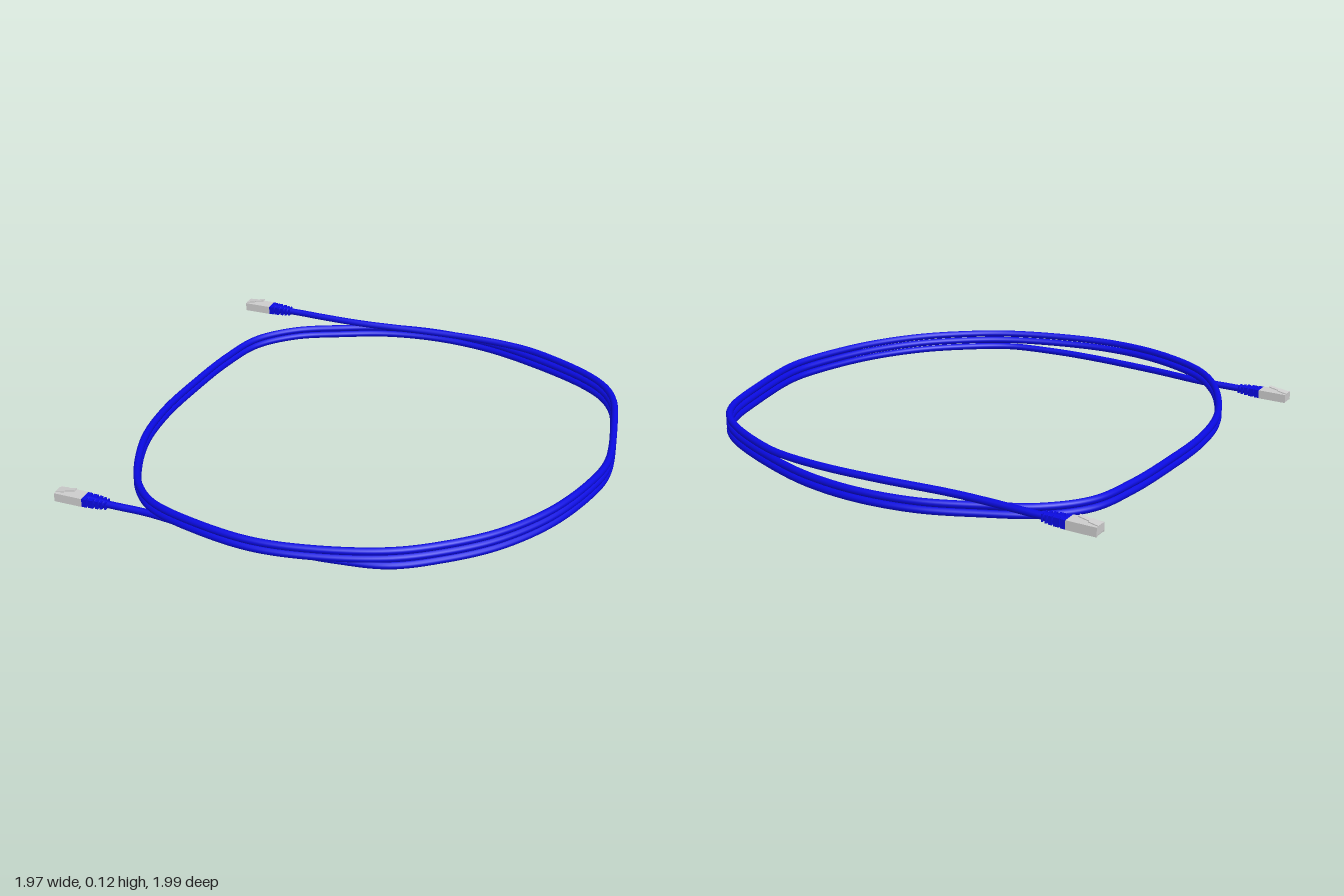
import * as THREE from 'three';

const blue = new THREE.MeshStandardMaterial({ color: 0x0a0ae0 });
const grey = new THREE.MeshStandardMaterial({ color: 0xcccccc });
const LOW = 0.023, MID = 0.054, TOP = 0.085; // heights of the three stacked turns
const R = 0.0145;

// Plan of one turn as [x, z]
const rightSide = [[0.39, 0.86], [0.56, 0.75], [0.72, 0.6], [0.86, 0.38], [0.95, 0.11], [0.97, -0.05],
  [0.925, -0.34], [0.865, -0.57], [0.795, -0.68], [0.68, -0.77], [0.43, -0.885]];
const backAndLeft = [[0.19, -0.96], [-0.05, -0.983], [-0.29, -0.95], [-0.5, -0.865], [-0.69, -0.765],
  [-0.82, -0.615], [-0.87, -0.4], [-0.892, -0.13], [-0.897, 0.135], [-0.865, 0.375], [-0.785, 0.59]];
const front = [[-0.69, 0.75], [-0.57, 0.86], [-0.34, 0.945], [-0.1, 0.977], [0.135, 0.945]];
const startTail = [[-0.82, 0.86], [-0.72, 0.86], [-0.6, 0.86], [-0.34, 0.89], [0, 0.908], [0.2, 0.897]];
const endTail = [[0.3, -0.912], [0.12, -0.922], [-0.1, -0.912], [-0.4, -0.885], [-0.6, -0.885],
  [-0.72, -0.89], [-0.82, -0.89]];

function add(parent, name, geometry, material, x = 0, y = 0, z = 0) {
  const mesh = new THREE.Mesh(geometry, material);
  mesh.name = name;
  mesh.position.set(x, y, z);
  parent.add(mesh);
  return mesh;
}

const level = (points, y) => points.map(([x, z]) => new THREE.Vector3(x, y, z));

// Front stretch where the cable climbs from one turn to the next
const climb = (from, to) => front.map(([x, z], i) =>
  new THREE.Vector3(x, THREE.MathUtils.lerp(from, to, Math.min(1, (i + 1) / 3)), z));

function makeCable() {
  const path = new THREE.CatmullRomCurve3([
    ...level(startTail, LOW), ...level(rightSide, LOW), ...level(backAndLeft, LOW),
    ...climb(LOW, MID), ...level(rightSide, MID), ...level(backAndLeft, MID),
    ...climb(MID, TOP), ...level(rightSide, TOP), ...level(endTail, TOP),
  ]);
  return new THREE.TubeGeometry(path, 700, R, 12);
}

// Plug pointing to -x, with its cable axis through the group's origin
function makeConnector() {
  const plug = new THREE.Group();

  // Housing: side profile with a low notch for the contacts at the nose
  const side = new THREE.Shape([[-0.99, -0.011], [-0.955, -0.011], [-0.955, -0.018], [-0.87, -0.018],
    [-0.87, 0.018], [-0.99, 0.018]].map(([x, y]) => new THREE.Vector2(x, y)));
  const housing = new THREE.ExtrudeGeometry(side, { depth: 0.058, bevelEnabled: false });
  add(plug, 'plugHousing', housing, grey, 0, 0, -0.029);

  // Eight contacts under the nose with walls either side
  for (let i = 0; i < 8; i++) {
    add(plug, 'contact', new THREE.BoxGeometry(0.034, 0.006, 0.002), grey, -0.972, -0.0135, (i - 3.5) * 0.0058);
  }
  for (const s of [-1, 1]) {
    add(plug, 'noseWall', new THREE.BoxGeometry(0.035, 0.007, 0.004), grey, -0.9725, -0.0145, s * 0.027);
  }

  // Springy latch hinged at the nose, broad first and then narrow
  const latch = new THREE.Group();
  latch.name = 'latch';
  latch.position.set(-0.99, 0.018, 0);
  latch.rotation.z = 0.2;
  add(latch, 'latchBase', new THREE.BoxGeometry(0.04, 0.004, 0.034), grey, 0.02, 0, 0);
  add(latch, 'latchLever', new THREE.BoxGeometry(0.045, 0.004, 0.02), grey, 0.061, 0, 0);
  plug.add(latch);

  // Strain relief: collar, tapering core and shrinking ribs
  add(plug, 'bootCollar', new THREE.BoxGeometry(0.022, 0.035, 0.056), blue, -0.86, 0, 0);
  const core = new THREE.CylinderGeometry(0.016, 0.02, 0.085, 16);
  core.rotateZ(-Math.PI / 2);
  add(plug, 'bootCore', core, blue, -0.812, 0, 0);
  [[-0.833, 0.022, 0.034, 0.052], [-0.808, 0.013, 0.033, 0.048], [-0.79, 0.009, 0.031, 0.044],
    [-0.773, 0.006, 0.03, 0.038]].forEach(([x, length, height, width]) =>
    add(plug, 'bootRib', new THREE.BoxGeometry(length, height, width), blue, x, 0, 0));
  return plug;
}

export function createModel() {
  const model = new THREE.Group();
  model.name = 'coiledNetworkCable';
  add(model, 'cable', makeCable(), blue);
  [['lowerConnector', LOW, 0.86], ['upperConnector', TOP, -0.89]].forEach(([name, y, z]) => {
    const plug = makeConnector();
    plug.name = name;
    plug.position.set(0, y, z);
    model.add(plug);
  });
  return model;
}
